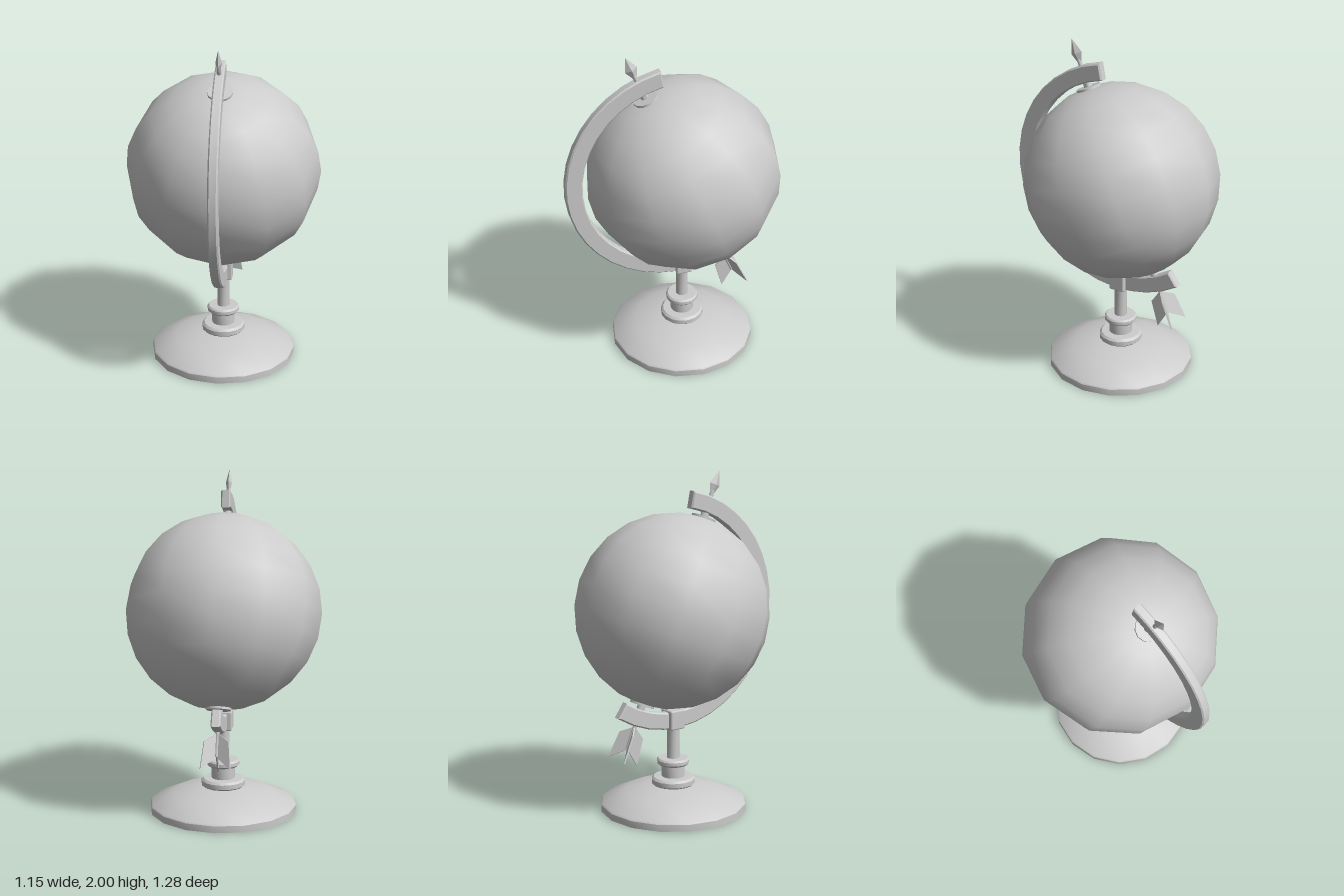
import * as THREE from 'three';
import { toCreasedNormals } from 'three/addons/utils/BufferGeometryUtils.js';
import { RoundedBoxGeometry } from 'three/addons/geometries/RoundedBoxGeometry.js';

const material = new THREE.MeshStandardMaterial({ color: 0xcccccc });
const CENTER_Y = 1.2, CENTER_Z = -0.07, TILT = Math.PI / 8;

function add(parent, name, geometry, y = 0) {
  const mesh = new THREE.Mesh(geometry, material);
  mesh.name = name;
  mesh.position.y = y;
  parent.add(mesh);
  return mesh;
}

function lathe(profile, sides) {
  const points = profile.map(([r, y]) => new THREE.Vector2(r, y));
  return toCreasedNormals(new THREE.LatheGeometry(points, sides), 0.55);
}

// Extrudes a shape to a centred thickness with a small inward bevel
function plate(shape, thickness, bevel) {
  const geometry = new THREE.ExtrudeGeometry(shape, {
    depth: thickness - 2 * bevel, bevelEnabled: bevel > 0, bevelThickness: bevel,
    bevelSize: bevel, bevelOffset: -bevel, bevelSegments: 1,
  });
  geometry.translate(0, 0, -thickness / 2 + bevel);
  return toCreasedNormals(geometry, 0.4);
}

// Curved arm as a band between two radii, in the y-z plane
function armGeometry(inner, outer, from, to, steps) {
  const points = [];
  const arc = (r, a, b) => {
    for (let i = 0; i <= steps; i++) {
      const t = THREE.MathUtils.degToRad(a + ((b - a) * i) / steps);
      points.push(new THREE.Vector2(r * Math.cos(t), r * Math.sin(t)));
    }
  };
  arc(outer, from, to);
  arc(inner, to, from);
  return plate(new THREE.Shape(points), 0.056, 0.008).rotateY(-Math.PI / 2);
}

export function createModel() {
  const model = new THREE.Group();
  model.name = 'deskGlobe';

  // Turned stand
  const stand = new THREE.Group();
  stand.name = 'stand';
  stand.position.z = CENTER_Z;
  model.add(stand);
  add(stand, 'base', lathe([
    [0, 0], [0.438, 0], [0.438, 0.04], [0.43, 0.05], [0.29, 0.112], [0.16, 0.146], [0, 0.152],
  ], 16));
  add(stand, 'pedestal', lathe([
    [0.12, 0.145], [0.13, 0.155], [0.13, 0.182], [0.117, 0.195], [0.07, 0.197],
    [0.07, 0.27], [0.088, 0.27], [0.097, 0.28], [0.097, 0.3], [0.088, 0.31], [0, 0.31],
  ], 16));
  add(stand, 'post', toCreasedNormals(new THREE.CylinderGeometry(0.037, 0.037, 0.22, 12), 0.6), 0.4);
  add(stand, 'clamp', new RoundedBoxGeometry(0.112, 0.118, 0.1, 1, 0.01), 0.551);

  // Arm around the front of the globe
  const arm = add(model, 'arm', armGeometry(0.605, 0.707, -124, 79, 22), CENTER_Y);
  arm.position.z = CENTER_Z;

  // Everything on the tilted axis
  const axis = new THREE.Group();
  axis.name = 'tiltedAxis';
  axis.position.set(0, CENTER_Y, CENTER_Z);
  axis.rotation.x = TILT;
  model.add(axis);
  add(axis, 'globe', new THREE.SphereGeometry(0.575, 12, 12));

  const disc = toCreasedNormals(new THREE.CylinderGeometry(0.073, 0.073, 0.02, 12), 0.6);
  const pin = toCreasedNormals(new THREE.CylinderGeometry(0.024, 0.024, 0.06, 10), 0.7);
  for (const [side, s] of [['top', 1], ['bottom', -1]]) {
    add(axis, side + 'PoleDisc', disc, s * 0.569);
    add(axis, side + 'Pin', pin, s * 0.595);
  }

  // Arrow head above the arm
  add(axis, 'arrowShaft', new THREE.CylinderGeometry(0.012, 0.014, 0.06, 8), 0.715);
  const head = add(axis, 'arrowHead', toCreasedNormals(new THREE.LatheGeometry([
    new THREE.Vector2(0.012, -0.058), new THREE.Vector2(0.037, 0), new THREE.Vector2(0, 0.088),
  ], 4), 0.2), 0.78);
  head.scale.x = 0.5;

  // Three arrow feathers below the arm
  add(axis, 'tailShaft', new THREE.CylinderGeometry(0.012, 0.012, 0.16, 8), -0.77);
  const fin = plate(new THREE.Shape([
    new THREE.Vector2(0, -0.85), new THREE.Vector2(0.1, -0.925),
    new THREE.Vector2(0.082, -0.765), new THREE.Vector2(0, -0.71),
  ]), 0.008, 0);
  for (let i = 0; i < 3; i++) {
    add(axis, 'arrowFeather', fin).rotation.y = -Math.PI / 2 + (i * Math.PI * 2) / 3;
  }
  return model;
}
